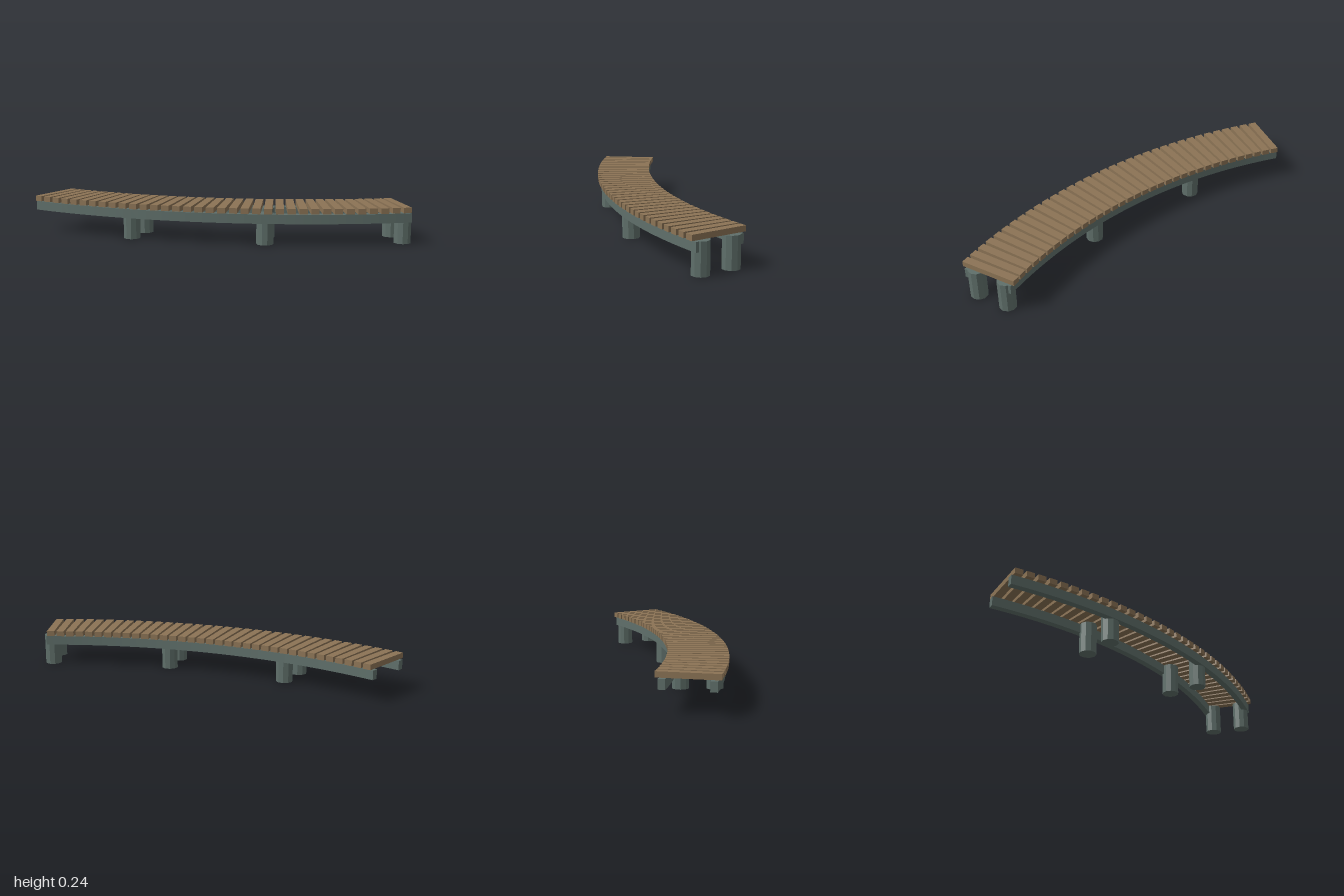
import * as THREE from 'three';

// The walkway follows a circular arc around this centre (x, z)
const CX = 2.074, CZ = -2.317, R = 3.266;
const START = THREE.MathUtils.degToRad(27.5);
const END = THREE.MathUtils.degToRad(69);
const PLANKS = 35;

// Place an object on the arc at angle a, offset outwards by r
function placeOnArc(object, a, r, y) {
  object.position.set(CX - (R + r) * Math.cos(a), y, CZ + (R + r) * Math.sin(a));
  object.rotation.y = a;
}

// Curved beam between two radii, extruded downwards from top
function railGeometry(offset, width, top, height) {
  const overhang = 0.035 / R;
  const from = Math.PI - START + overhang, to = Math.PI - END - overhang;
  const shape = new THREE.Shape();
  shape.absarc(CX, CZ, R + offset + width / 2, from, to, true);
  shape.absarc(CX, CZ, R + offset - width / 2, to, from, false);
  const geometry = new THREE.ExtrudeGeometry(shape, { depth: height, bevelEnabled: false, curveSegments: 24 });
  geometry.rotateX(Math.PI / 2);
  geometry.translate(0, top, 0);
  return geometry;
}

export function createModel() {
  const model = new THREE.Group();
  model.name = 'curvedBoardwalk';
  const wood = new THREE.MeshStandardMaterial({ color: 0x8b7355, flatShading: true });
  const frame = new THREE.MeshStandardMaterial({ color: 0x5f6f6a, flatShading: true });

  // Deck planks, fanned along the arc
  const deck = new THREE.Group();
  deck.name = 'deck';
  const plankGeometry = new THREE.BoxGeometry(0.37, 0.035, 0.051);
  for (let i = 0; i < PLANKS; i++) {
    const plank = new THREE.Mesh(plankGeometry, wood);
    plank.name = 'plank';
    placeOnArc(plank, THREE.MathUtils.lerp(START, END, i / (PLANKS - 1)), 0, 0.2225);
    deck.add(plank);
  }
  model.add(deck);

  // Inner and outer support beams
  const postGeometry = new THREE.CylinderGeometry(0.055, 0.055, 0.2, 10);
  for (const side of [-1, 1]) {
    const rail = new THREE.Mesh(railGeometry(side * 0.144, 0.042, 0.2, 0.06), frame);
    rail.name = side < 0 ? 'innerBeam' : 'outerBeam';
    model.add(rail);

    // Round posts in pairs below the beams
    for (const degrees of [39, 54, 69]) {
      const post = new THREE.Mesh(postGeometry, frame);
      post.name = 'post';
      placeOnArc(post, THREE.MathUtils.degToRad(degrees), side * 0.106, 0.1);
      model.add(post);
    }
  }
  return model;
}
